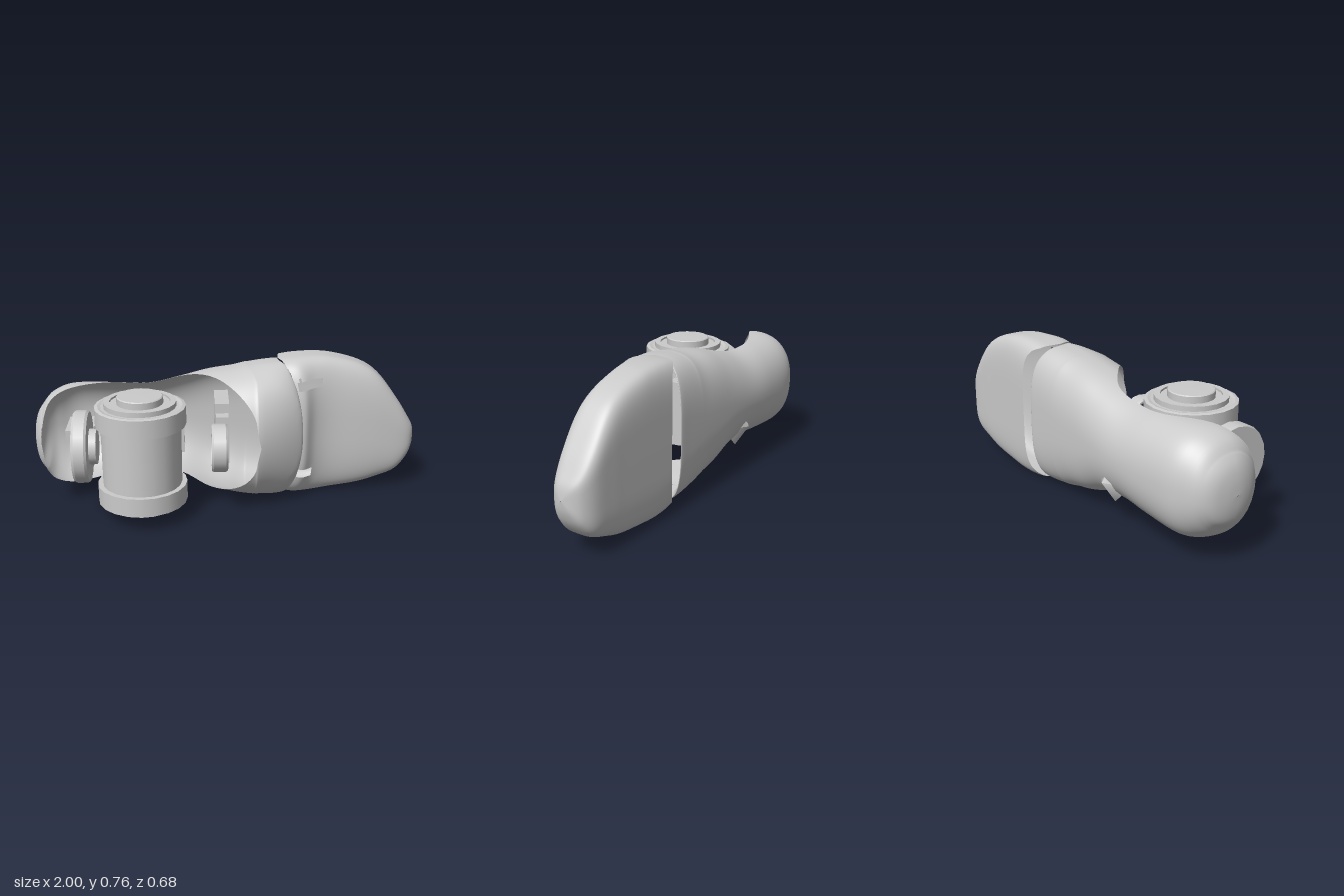
import * as THREE from 'three';
import { mergeVertices } from 'three/addons/utils/BufferGeometryUtils.js';

const mat = new THREE.MeshStandardMaterial({ color: 0xcccccc, side: THREE.DoubleSide });

// Piecewise linear lookup in [key, value] pairs
function lookup(table, k) {
  if (k <= table[0][0]) return table[0][1];
  for (let i = 1; i < table.length; i++) {
    const [k0, v0] = table[i - 1], [k1, v1] = table[i];
    if (k <= k1) return v0 + (v1 - v0) * (k - k0) / (k1 - k0);
  }
  return table[table.length - 1][1];
}

// Smooth blend of four neighbouring values
function smooth(a, b, c, d, f) {
  return b + 0.5 * f * (c - a + f * (2 * a - 5 * b + 4 * c - d + f * (3 * (b - c) + d - a)));
}

// Point on a section: angle -90 is the sole centre, +90 the top centre
function sectionPoint([x, yc, w, zb, zc, zt, zr, pLow], v, pHigh) {
  const up = zr >= zc;
  const q = Math.min(1, up ? (zr - zc) / (zt - zc) : (zc - zr) / (zc - zb));
  const rim = (up ? 1 : -1) * Math.asin(Math.pow(q, 1 / (up ? pHigh : pLow)));
  const a = -Math.PI / 2 + Math.abs(v) * (rim + Math.PI / 2);
  const s = Math.sin(a), p = s > 0 ? pHigh : pLow;
  const y = yc + Math.sign(v) * w * Math.pow(Math.max(0, Math.cos(a)), p);
  const z = zc + (s > 0 ? zt - zc : zc - zb) * Math.sign(s) * Math.pow(Math.abs(s), p);
  return new THREE.Vector3(x, y, z);
}

// Shell lofted through stations [x, yc, halfWidth, zBottom, zMiddle, zTop, zRim, soleRoundness]
function shell(name, stations, pHigh, warp, isHole = () => false) {
  const sub = 5, cols = 72, pts = [], index = [];
  const last = stations.length - 1, rows = last * sub;
  for (let r = 0; r <= rows; r++) {
    const i = Math.min(Math.floor(r / sub), last - 1), f = r / sub - i;
    const [A, B, C, D] = [-1, 0, 1, 2].map((o) => stations[Math.min(last, Math.max(0, i + o))]);
    const st = B.map((b, k) => smooth(A[k], b, C[k], D[k], f));
    for (let c = 0; c <= cols; c++) pts.push(warp(sectionPoint(st, (c / cols) * 2 - 1, pHigh)));
  }
  const n = cols + 1, mid = new THREE.Vector3();
  for (let r = 0; r < rows; r++) for (let c = 0; c < cols; c++) {
    const a = r * n + c, b = a + 1, d = a + n, e = d + 1;
    mid.copy(pts[a]).add(pts[e]).multiplyScalar(0.5);
    if (!isHole(mid)) index.push(a, b, d, b, e, d);
  }
  let geo = new THREE.BufferGeometry().setFromPoints(pts);
  geo.setIndex(index);
  geo = mergeVertices(geo, 1e-4);
  geo.computeVertexNormals();
  const m = new THREE.Mesh(geo, mat);
  m.name = name;
  return m;
}

// Turned part; every profile segment keeps its own normals so edges stay sharp
function turned(name, profile, sides, x, y, z, alongX = false) {
  const g = new THREE.Group();
  g.name = name;
  for (let i = 1; i < profile.length; i++) {
    const seg = [profile[i - 1], profile[i]].map(([r, h]) => new THREE.Vector2(r, h));
    g.add(new THREE.Mesh(new THREE.LatheGeometry(seg, sides), mat));
  }
  g.position.set(x, y, z);
  if (alongX) g.rotation.z = -Math.PI / 2;
  return g;
}

// Box given by its limits
function box(name, x0, x1, y0, y1, z0, z1) {
  const m = new THREE.Mesh(new THREE.BoxGeometry(x1 - x0, y1 - y0, z1 - z0), mat);
  m.position.set((x0 + x1) / 2, (y0 + y1) / 2, (z0 + z1) / 2);
  m.name = name;
  return m;
}

export function createModel() {
  const model = new THREE.Group();
  model.name = 'mechanicalFoot';

  // Heel shell: open bowl that closes over the instep and folds in at its front edge
  const heelFront = [[-0.34, 0.28], [-0.27, 0.255], [-0.15, 0.25], [-0.05, 0.31], [0.03, 0.375]];
  model.add(shell('heelShell', [
    [-1.0, 0.36, 0.002, -0.1, -0.09, -0.08, -0.08, 0.9],
    [-0.995, 0.36, 0.07, -0.15, -0.09, -0.04, -0.04, 0.9],
    [-0.98, 0.36, 0.13, -0.21, -0.09, 0.01, 0.01, 0.9],
    [-0.95, 0.365, 0.175, -0.255, -0.08, 0.06, 0.06, 0.9],
    [-0.9, 0.365, 0.23, -0.29, -0.08, 0.12, -0.01, 0.88],
    [-0.8, 0.365, 0.262, -0.33, -0.1, 0.15, -0.07, 0.85],
    [-0.6, 0.367, 0.258, -0.34, -0.12, 0.12, -0.165, 0.92],
    [-0.42, 0.37, 0.25, -0.34, -0.12, 0.12, -0.17, 0.95],
    [-0.25, 0.38, 0.275, -0.34, -0.12, 0.12, -0.165, 0.87],
    [-0.1, 0.375, 0.315, -0.34, -0.12, 0.15, -0.06, 0.75],
    [0.05, 0.37, 0.34, -0.34, -0.12, 0.165, 0.077, 0.7],
    [0.12, 0.37, 0.35, -0.34, -0.12, 0.165, 0.137, 0.66],
    [0.15, 0.37, 0.352, -0.34, -0.12, 0.165, 0.165, 0.65],
    [0.27, 0.37, 0.362, -0.34, -0.12, 0.1, 0.1, 0.6],
    [0.37, 0.37, 0.365, -0.34, -0.13, 0.03, 0.03, 0.6],
    [0.36, 0.37, 0.355, -0.33, -0.13, 0.01, 0.01, 0.6],
    [0.32, 0.37, 0.34, -0.32, -0.13, -0.02, -0.02, 0.6],
  ], 1.0, (p) => {
    if (p.x > 0) p.x *= lookup(heelFront, p.z) / 0.37;
    return p;
  }));

  // Toe shell with two small stepped slots beside the instep
  const toeBack = [[-0.34, 0.36], [-0.28, 0.27], [-0.18, 0.25], [-0.08, 0.29], [0, 0.35]];
  const inSlot = (p, x1, y0, y1) => p.z > -0.2 && p.x > 0.35 && p.x < x1 && p.y > y0 && p.y < y1;
  model.add(shell('toeShell', [
    [0.3, 0.38, 0.362, -0.34, -0.17, 0.0],
    [0.36, 0.378, 0.374, -0.34, -0.17, -0.005],
    [0.45, 0.378, 0.378, -0.34, -0.18, -0.055],
    [0.55, 0.378, 0.368, -0.34, -0.19, -0.085],
    [0.7, 0.365, 0.335, -0.34, -0.2, -0.1],
    [0.8, 0.345, 0.285, -0.34, -0.2, -0.112],
    [0.9, 0.3, 0.2, -0.335, -0.2, -0.13],
    [0.96, 0.285, 0.12, -0.31, -0.21, -0.15],
    [0.99, 0.29, 0.06, -0.27, -0.215, -0.18],
    [1.0, 0.29, 0.002, -0.223, -0.22, -0.217],
  ].map((s) => [...s, s[5], 0.4]), 0.7, (p) => {
    p.x += (lookup(toeBack, p.z) - 0.3) * Math.max(0, (0.6 - p.x) / 0.3);
    return p;
  }, (p) => inSlot(p, 0.48, 0.61, 0.66) || inSlot(p, 0.44, 0.125, 0.175)));

  // Ankle drum with flanges and stepped caps at both ends
  const half = [[0, 0.304], [0.11, 0.302], [0.115, 0.298], [0.115, 0.265], [0.15, 0.265], [0.15, 0.275],
    [0.18, 0.275], [0.18, 0.25], [0.195, 0.25], [0.21, 0.254], [0.226, 0.25], [0.226, 0.155],
    [0.2, 0.155], [0.2, 0.12]];
  const drum = [...half, ...half.map(([r, h]) => [r, -h]).reverse()];
  model.add(turned('ankleDrum', drum, 20, -0.445, 0.341, 0.115));

  // Layered bracket tying the drum to the sole, with a spur under the sole
  [[0.21, -0.26, -0.22], [0.17, -0.22, -0.19], [0.095, -0.19, -0.02]].forEach(([w, z0, z1], i) => {
    model.add(box('ankleBracket' + (i + 1), -0.445 - w, -0.445 + w, 0.2, 0.48, z0, z1));
  });
  const spur = new THREE.Mesh(new THREE.ConeGeometry(0.12, 0.08, 4), mat);
  spur.name = 'soleSpur';
  spur.position.set(-0.35, 0.24, -0.3);
  spur.rotation.x = -Math.PI / 2;
  model.add(spur);

  // Heel disc, its hub and its support
  model.add(turned('heelDisc', [[0, -0.037], [0.175, -0.037], [0.182, -0.025], [0.182, 0.025],
    [0.175, 0.037], [0.09, 0.037], [0.09, 0.073], [0, 0.073]], 20, -0.738, 0.377, 0.113, true));
  model.add(box('heelSupport', -0.845, -0.7, 0.34, 0.4, -0.26, -0.045));

  // Instep ring, its lug and the block behind it
  model.add(turned('instepRing', [[0.105, -0.04], [0.115, -0.04], [0.122, -0.03], [0.122, 0.03],
    [0.115, 0.04], [0.105, 0.04], [0.1, 0], [0.105, -0.04]], 20, -0.055, 0.365, 0.127, true));
  model.add(box('instepLug', -0.07, -0.005, 0.27, 0.48, -0.1, 0.0));
  model.add(box('instepBlock', -0.075, 0, 0.2, 0.53, -0.29, -0.06));

  return model;
}
